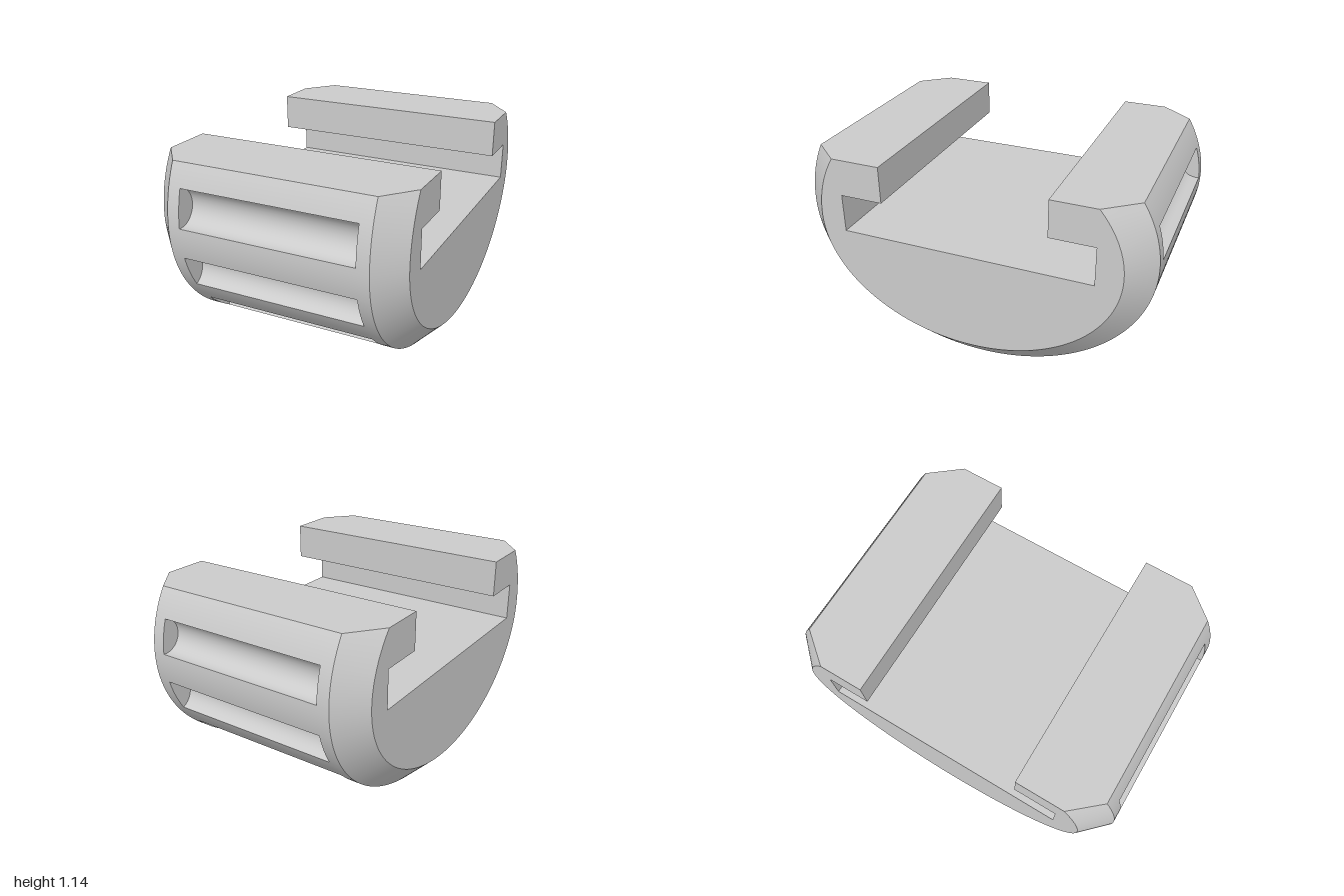
import * as THREE from 'three';
import { toCreasedNormals } from 'three/addons/utils/BufferGeometryUtils.js';

const TOP = 1.145, MID = 0.785, CHAMFER = 0.142;

// Groove edges as angles from the bottom centre, front side then mirrored
const half = [[1.839, 1.599], [1.379, 1.124], [0.92, 0.68], [0.51, 0.277]];
const grooves = [...half, [0.105, -0.105], ...half.map(([a, b]) => [-b, -a]).reverse()];

// Slot that opens upward between two lips, as (z, y)
const slot = [[-0.465, TOP], [-0.465, 0.935], [-0.714, 0.935], [-0.714, 0.717],
  [0.714, 0.717], [0.714, 0.935], [0.47, 0.935], [0.47, TOP]].map(([z, y]) => new THREE.Vector2(z, y));

// Point on the oval outline, moved inward by inset
function oval(a, inset = 0) {
  const s = Math.sin(a), c = Math.cos(a);
  const b = c >= 0 ? MID : s > 0 ? 0.887 : 0.8;
  const n = new THREE.Vector2(b * s, -c).normalize();
  return new THREE.Vector2(s, MID - b * c).addScaledVector(n, -inset);
}

// Angle at which the outline meets the flat top
function topAngle(side, inset) {
  let lo = Math.PI / 2, hi = 2.7;
  for (let i = 0; i < 40; i++) {
    const m = (lo + hi) / 2;
    if (oval(side * m, inset).y < TOP) lo = m; else hi = m;
  }
  return side * lo;
}

// Closed cross-section; all variants have the same number of points
function section(inset, grooved) {
  const pts = [], LAND = 6, CUT = 16;
  let from = topAngle(1, inset);
  const land = (to) => {
    for (let k = 0; k < LAND; k++) pts.push(oval(from + (to - from) * k / LAND, inset));
  };
  for (const [a, b] of grooves) {
    land(a);
    const A = oval(a), B = oval(b);
    const centre = A.clone().add(B).multiplyScalar(0.5);
    const r = A.clone().sub(centre);
    const inward = new THREE.Vector2(-r.y, r.x);
    for (let k = 0; k < CUT; k++) {
      const t = Math.PI * k / CUT;
      pts.push(grooved
        ? centre.clone().addScaledVector(r, Math.cos(t)).addScaledVector(inward, Math.sin(t))
        : oval(a + (b - a) * k / CUT, inset));
    }
    from = b;
  }
  const end = topAngle(-1, inset);
  land(end);
  pts.push(oval(end, inset));
  return [...pts, ...slot];
}

// Skin joining successive sections along x
function loft(rings) {
  const pos = [];
  const tri = (...v) => {
    const area = new THREE.Triangle(...v).getArea();
    if (area > 1e-9) v.forEach((p) => pos.push(p.x, p.y, p.z));
  };
  for (let r = 0; r < rings.length - 1; r++) {
    const [p, q] = [rings[r], rings[r + 1]].map(([x, pts]) => pts.map((v) => new THREE.Vector3(x, v.y, v.x)));
    p.forEach((a, i) => {
      const j = (i + 1) % p.length;
      tri(a, p[j], q[j]);
      tri(a, q[j], q[i]);
    });
  }
  const g = new THREE.BufferGeometry();
  g.setAttribute('position', new THREE.Float32BufferAttribute(pos, 3));
  return toCreasedNormals(g, 0.4);
}

export function createModel() {
  const group = new THREE.Group();
  const material = new THREE.MeshStandardMaterial({ color: 0xcccccc });
  const add = (geometry, name) => {
    const mesh = new THREE.Mesh(geometry, material);
    mesh.name = name;
    group.add(mesh);
    return mesh;
  };

  const plain = section(0, false), cut = section(0, true), small = section(CHAMFER, false);

  // Chamfered body; paired sections at x = 0.5 form the groove ends
  add(loft([[-0.711, small], [-0.57, plain], [-0.5, plain], [-0.5, cut],
    [0.5, cut], [0.5, plain], [0.57, plain], [0.711, small]]), 'groovedBody');

  // Flat end faces
  for (const side of [-1, 1]) {
    const shape = new THREE.Shape(small.map((v) => new THREE.Vector2(-side * v.x, v.y)));
    const face = new THREE.ShapeGeometry(shape).rotateY(side * Math.PI / 2);
    add(face, side > 0 ? 'leftEndFace' : 'rightEndFace').position.x = side * 0.711;
  }
  return group;
}
